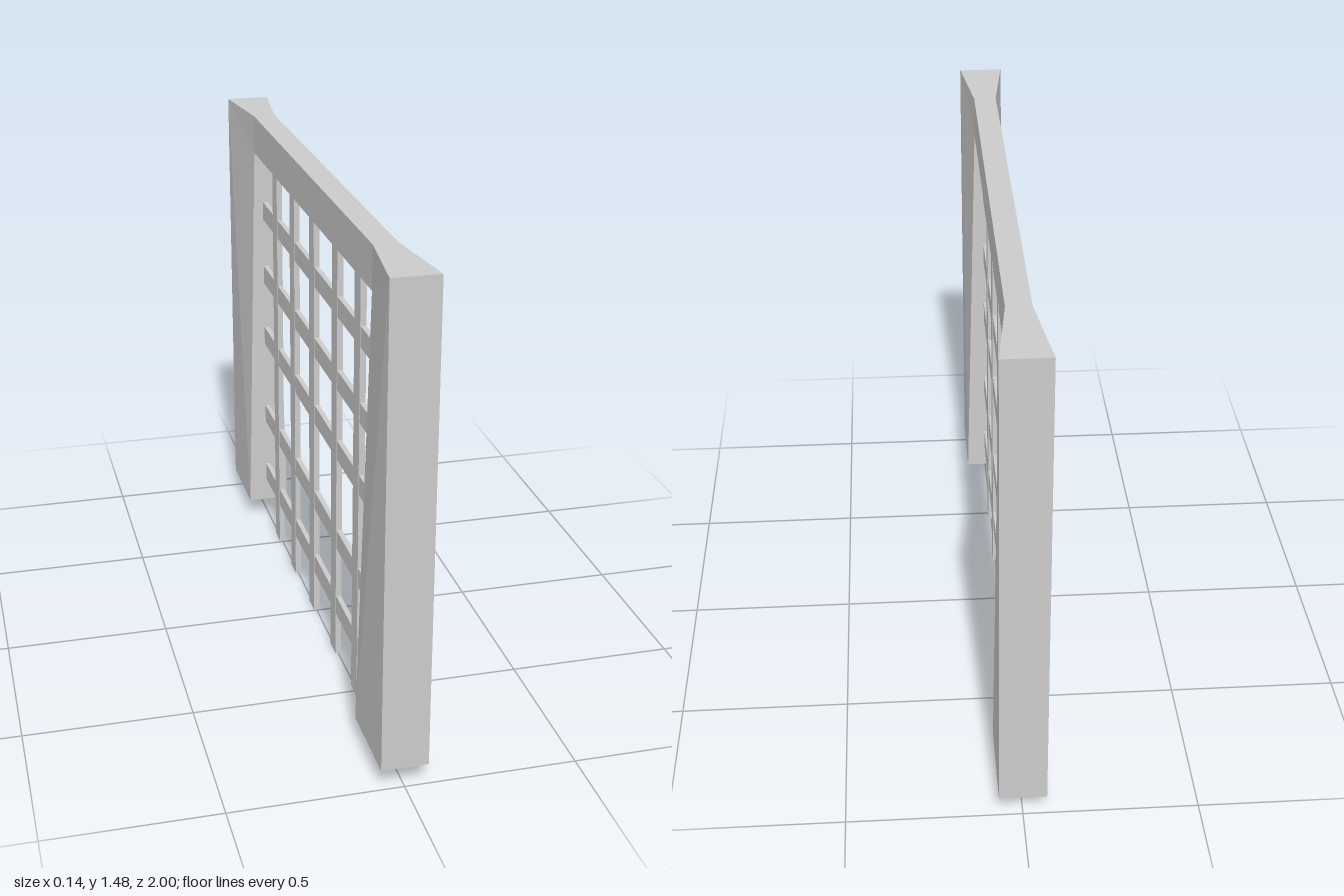
import * as THREE from 'three';

const TOP = 1.475, LINTEL = 1.35, FOOT = 0.062;
const INNER = 0.73, WIDE = 0.068, NARROW = 0.035;

// Post whose inner edge narrows upward to meet the lintel
function postGeometry() {
  const side = [
    [WIDE, TOP, 1], [WIDE, FOOT, 1], [WIDE, FOOT, INNER],
    [NARROW, LINTEL, INNER], [NARROW, TOP, INNER],
  ];
  const n = side.length;
  const points = [...side, ...side.map(([x, y, z]) => [-x, y, z])];
  const index = [];
  for (let i = 1; i < n - 1; i++) {
    index.push(0, i, i + 1, n, n + i + 1, n + i); // both broad faces
  }
  for (let a = 0; a < n; a++) {
    const b = (a + 1) % n;
    index.push(b, a, a + n, b, a + n, b + n); // rim
  }
  const geometry = new THREE.BufferGeometry();
  geometry.setAttribute('position', new THREE.Float32BufferAttribute(points.flat(), 3));
  geometry.setIndex(index);
  const flat = geometry.toNonIndexed();
  flat.computeVertexNormals();
  return flat;
}

export function createModel() {
  const model = new THREE.Group();
  model.name = 'portcullisGate';
  const material = new THREE.MeshStandardMaterial({ color: 0xcccccc, flatShading: true });

  const add = (name, geometry, y = 0, z = 0, parent = model) => {
    const mesh = new THREE.Mesh(geometry, material);
    mesh.name = name;
    mesh.position.set(0, y, z);
    parent.add(mesh);
    return mesh;
  };

  // Frame: two posts and the beam between them
  const post = postGeometry();
  add('frontPost', post);
  add('backPost', post).rotation.y = Math.PI;
  add('lintel', new THREE.BoxGeometry(2 * NARROW, TOP - LINTEL, 2 * INNER), (TOP + LINTEL) / 2);

  // Lattice of flat bars
  const grille = new THREE.Group();
  grille.name = 'grille';
  model.add(grille);
  const upright = new THREE.BoxGeometry(0.018, LINTEL, 0.062);
  for (const z of [0.495, 0.245, -0.035, -0.295, -0.54]) {
    add('verticalBar', upright, LINTEL / 2, z, grille);
  }
  const rail = new THREE.BoxGeometry(0.015, 0.062, 2 * INNER);
  for (const y of [1.147, 0.92, 0.697, 0.4, 0.172]) {
    add('horizontalBar', rail, y, 0, grille);
  }
  return model;
}
